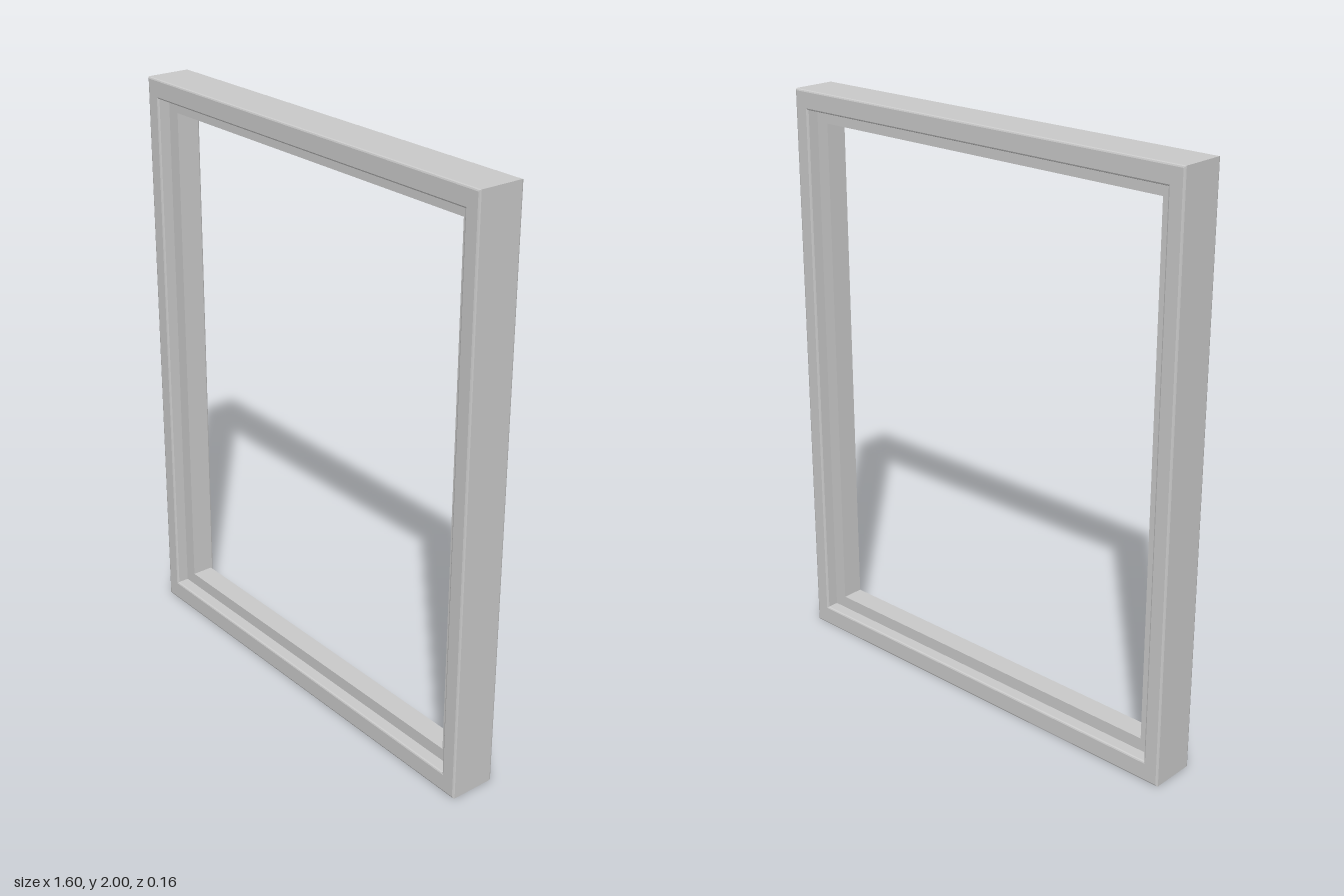
import * as THREE from 'three';

const material = new THREE.MeshStandardMaterial({ color: 0xcccccc });

// Adds a closed rectangle to a shape or a path
function rectangle(path, halfWidth, bottom, top) {
  path.moveTo(-halfWidth, bottom);
  path.lineTo(halfWidth, bottom);
  path.lineTo(halfWidth, top);
  path.lineTo(-halfWidth, top);
  path.closePath();
  return path;
}

// Rectangular ring [halfWidth, bottom, top], centred on z = 0, with optional eased edges
function ring(name, outer, inner, depth, bevel) {
  const shape = rectangle(new THREE.Shape(), ...outer);
  shape.holes.push(rectangle(new THREE.Path(), ...inner));
  const geometry = new THREE.ExtrudeGeometry(shape, {
    depth: depth - 2 * bevel,
    bevelEnabled: bevel > 0,
    bevelSize: bevel,
    bevelThickness: bevel,
    bevelOffset: -bevel,
    bevelSegments: 2,
  });
  geometry.translate(0, 0, -depth / 2 + bevel);
  const mesh = new THREE.Mesh(geometry, material);
  mesh.name = name;
  return mesh;
}

export function createModel() {
  const group = new THREE.Group();
  group.name = 'windowFrame';
  // Deep outer frame with slightly eased edges
  group.add(ring('outerFrame', [0.8, 0, 2], [0.744, 0.07, 1.934], 0.164, 0.006));
  // Narrower stop set back inside it on both faces
  group.add(ring('innerStop', [0.75, 0.064, 1.94], [0.696, 0.114, 1.89], 0.076, 0));
  return group;
}
